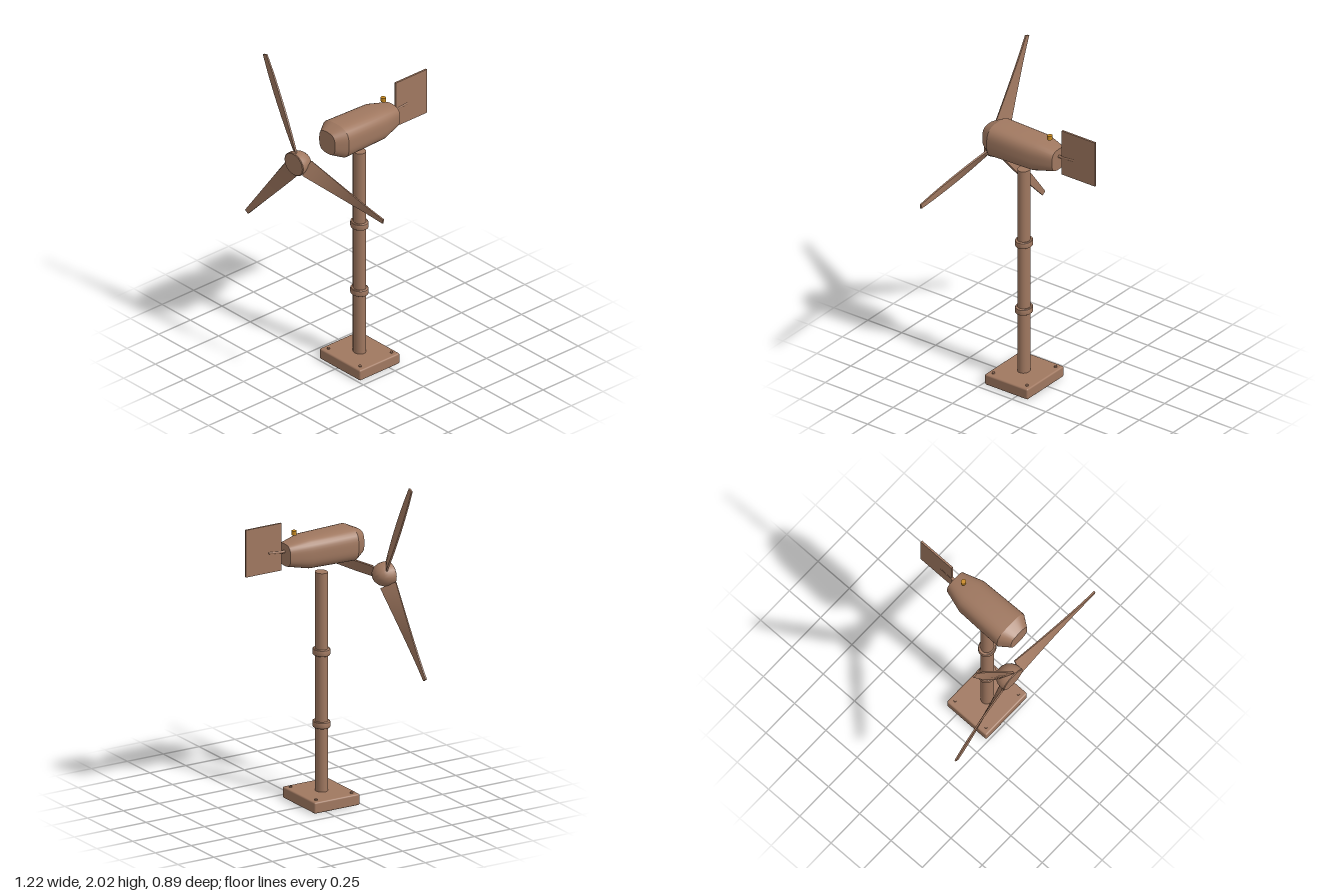
import * as THREE from 'three';
import { toCreasedNormals } from 'three/addons/utils/BufferGeometryUtils.js';
import { RoundedBoxGeometry } from 'three/addons/geometries/RoundedBoxGeometry.js';

const AXIS_X = 0.025; // tower axis
const AXIS_Z = 0.08;
const OVAL = 1.14; // round parts are slightly wider than deep

export function createModel() {
  const bronze = new THREE.MeshStandardMaterial({ color: 0xa07860 });
  bronze.name = 'bronze';
  const amber = new THREE.MeshStandardMaterial({ color: 0xc98a20 });
  amber.name = 'amber';

  const model = new THREE.Group();
  model.name = 'windTurbine';

  const add = (name, geometry, x, y, z, parent = model, material = bronze) => {
    const mesh = new THREE.Mesh(geometry, material);
    mesh.name = name;
    mesh.position.set(x, y, z);
    parent.add(mesh);
    return mesh;
  };
  const lathe = (points, sides) => toCreasedNormals(
    new THREE.LatheGeometry(points.map(([r, y]) => new THREE.Vector2(r, y)), sides), 0.6);

  // Base plate with four bolts
  add('basePlate', new RoundedBoxGeometry(0.36, 0.07, 0.316, 3, 0.01), AXIS_X, 0.035, 0.078);
  for (const sx of [-1, 1]) {
    for (const z of [-0.047, 0.2]) {
      add('bolt', new THREE.CylinderGeometry(0.0085, 0.0085, 0.012, 12), AXIS_X + sx * 0.141, 0.072, z)
        .scale.x = OVAL;
    }
  }

  // Tower and its two collars
  add('tower', new THREE.CylinderGeometry(0.037, 0.037, 1.37, 32), AXIS_X, 0.745, AXIS_Z).scale.x = OVAL;
  const collar = lathe([[0.036, -0.02], [0.046, -0.02], [0.05, -0.017], [0.051, -0.012],
    [0.051, 0.012], [0.05, 0.017], [0.046, 0.02], [0.036, 0.02]], 32);
  for (const y of [0.485, 0.935]) add('collar', collar, AXIS_X, y, AXIS_Z).scale.x = OVAL;

  // Nacelle: rounded-square sections [z, half width, half height], back to front
  const sections = [[-0.178, 0.07, 0.068], [-0.045, 0.111, 0.097], [0.267, 0.118, 0.104], [0.335, 0.07, 0.072]];
  const shell = new THREE.CylinderGeometry(1, 1, 3, 40, 3);
  shell.rotateX(Math.PI / 2);
  const p = shell.attributes.position;
  for (let i = 0; i < p.count; i++) {
    const [z, w, h] = sections[Math.round(p.getZ(i) + 1.5)];
    const x = p.getX(i), y = p.getY(i);
    const k = Math.hypot(x, y) < 0.01 ? 0 : Math.pow(Math.abs(x) ** 3 + Math.abs(y) ** 3, -1 / 3);
    p.setXYZ(i, x * k * w, y * k * h, z);
  }
  add('nacelle', toCreasedNormals(shell, 0.45), AXIS_X, 1.582, 0);

  // Tail boom and fin
  const boom = add('tailBoom', new THREE.CylinderGeometry(0.009, 0.009, 0.127, 12), 0.026, 1.606, -0.228);
  boom.rotation.x = -Math.PI / 2 + 0.1;
  add('tailFin', new THREE.BoxGeometry(0.012, 0.294, 0.246), 0.026, 1.637, -0.325);

  // Beacon hovering over the nacelle
  add('beacon', new THREE.CylinderGeometry(0.015, 0.015, 0.026, 16), AXIS_X, 1.707, -0.11, model, amber)
    .scale.x = OVAL;

  // Rotor: flat-faced hub with a domed back
  const rotor = new THREE.Group();
  rotor.name = 'rotor';
  rotor.position.set(-0.147, 1.403, 0.408);
  rotor.scale.x = OVAL;
  model.add(rotor);
  const hubProfile = [];
  for (let i = 0; i <= 5; i++) {
    const a = (i / 5) * Math.PI / 2;
    hubProfile.push([0.0735 * Math.sin(a), 0.012 - 0.084 * Math.cos(a)]);
  }
  hubProfile.push([0.0735, 0.035], [0.069, 0.039], [0, 0.039]);
  add('hub', lathe(hubProfile, 20).rotateX(Math.PI / 2), 0, 0, 0, rotor);

  // Blade: a plate along +x, tapered and twisted towards the root
  const ROOT = 0.068, TIP = 0.662;
  const plate = new THREE.BoxGeometry(1, 1, 1, 12, 1, 1);
  const b = plate.attributes.position;
  for (let i = 0; i < b.count; i++) {
    const t = b.getX(i) + 0.5;
    const chord = b.getY(i) * THREE.MathUtils.lerp(0.104, 0.028, t);
    const thick = b.getZ(i) * 0.01;
    const twist = -0.6 * Math.max(0, 1 - t / 0.85);
    b.setXYZ(i, THREE.MathUtils.lerp(ROOT, TIP, t),
      chord * Math.cos(twist) - thick * Math.sin(twist),
      chord * Math.sin(twist) + thick * Math.cos(twist));
  }
  const blade = toCreasedNormals(plate, 0.5);
  for (let i = 0; i < 3; i++) {
    add('blade', blade, 0, 0, 0, rotor).rotation.z = THREE.MathUtils.degToRad(-7 + 120 * i);
  }

  return model;
}
